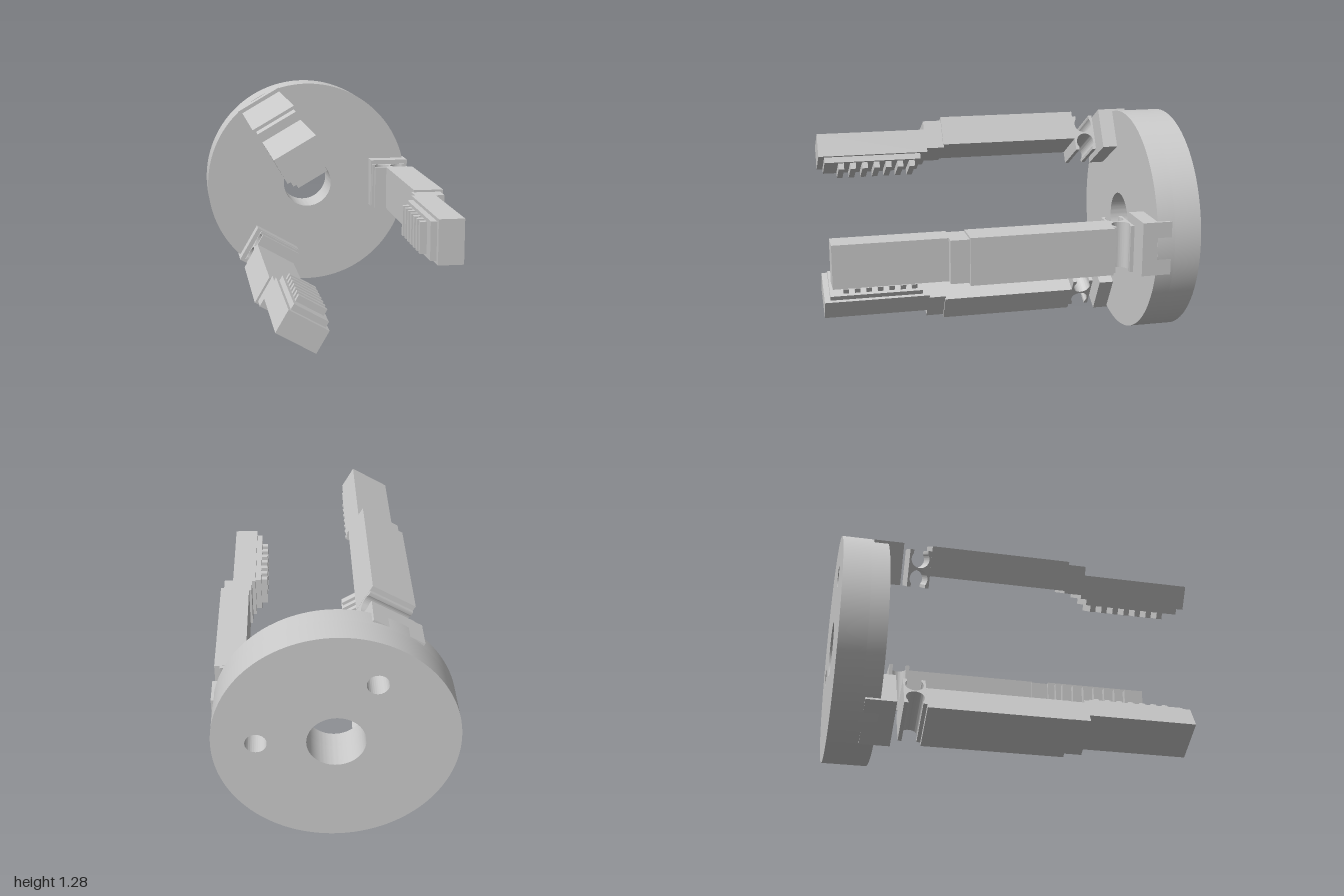
import * as THREE from 'three';
import { toCreasedNormals } from 'three/addons/utils/BufferGeometryUtils.js';

const material = new THREE.MeshStandardMaterial({ color: 0xcccccc });

function add(parent, name, geometry) {
  const mesh = new THREE.Mesh(geometry, material);
  mesh.name = name;
  parent.add(mesh);
  return mesh;
}

// Box from radial range (x), half width (y) and axial range (z)
function block(parent, name, x0, x1, half, z0, z1) {
  const mesh = add(parent, name, new THREE.BoxGeometry(x1 - x0, half * 2, z1 - z0));
  mesh.position.set((x0 + x1) / 2, 0, (z0 + z1) / 2);
  return mesh;
}

// Round plate layer with circular holes [x, y, radius]
function plateLayer(parent, name, z0, z1, holes) {
  const shape = new THREE.Shape().absarc(0, 0, 0.64, 0, Math.PI * 2);
  for (const [x, y, r] of holes) {
    shape.holes.push(new THREE.Path().absarc(x, y, r, 0, Math.PI * 2, true));
  }
  const geometry = new THREE.ExtrudeGeometry(shape, { depth: z1 - z0, bevelEnabled: false, curveSegments: 64 });
  geometry.translate(0, 0, z0);
  add(parent, name, toCreasedNormals(geometry, 0.6));
}

// Flexible joint: a block with a round notch on each side, leaving a thin web
function flexure(parent) {
  const [x0, x1, z0, z1] = [0.4, 0.608, -0.625, -0.503];
  const zc = -0.564, r = 0.05, a = Math.asin(0.8), mouth = r * 0.8;
  const shape = new THREE.Shape();
  shape.moveTo(x0, z0);
  shape.lineTo(x1, z0);
  shape.lineTo(x1, zc - mouth);
  shape.absarc(0.558, zc, r, -a, a, true);
  shape.lineTo(x1, zc + mouth);
  shape.lineTo(x1, z1);
  shape.lineTo(x0, z1);
  shape.lineTo(x0, zc + mouth);
  shape.absarc(0.448, zc, r, Math.PI - a, Math.PI + a, true);
  shape.lineTo(x0, zc - mouth);
  shape.closePath();
  const half = 0.13;
  const geometry = new THREE.ExtrudeGeometry(shape, { depth: half * 2, bevelEnabled: false, curveSegments: 32 });
  geometry.rotateX(Math.PI / 2).translate(0, half, 0);
  add(parent, 'flexureJoint', toCreasedNormals(geometry, 0.5));
}

function createFinger() {
  const finger = new THREE.Group();
  finger.name = 'finger';
  block(finger, 'fingerMount', 0.402, 0.637, 0.15, -0.83, -0.665);
  flexure(finger);
  block(finger, 'fingerBody', 0.47, 0.637, 0.131, -0.503, 0.285);
  block(finger, 'fingerCollar', 0.456, 0.62, 0.119, 0.28, 0.388);
  block(finger, 'fingerTip', 0.435, 0.57, 0.119, 0.38, 1);
  // Grip pad with a row of ribs facing the centre
  block(finger, 'gripPad', 0.402, 0.44, 0.102, 0.42, 0.967);
  for (let i = 0; i < 7; i++) {
    const z = 0.469 + i * 0.0675;
    block(finger, 'gripRib', 0.366, 0.41, 0.084, z - 0.016, z + 0.016);
  }
  return finger;
}

export function createModel() {
  const model = new THREE.Group();
  model.name = 'threeFingerGripper';

  // Base plate: bored through the middle, two blind holes in the back
  const plate = new THREE.Group();
  plate.name = 'basePlate';
  const bore = [0, 0, 0.153];
  const third = (Math.PI * 2) / 3;
  const blind = [0, 1].map((i) => [0.41 * Math.cos(i * third), 0.41 * Math.sin(i * third), 0.057]);
  plateLayer(plate, 'plateBack', -1, -0.85, [bore, ...blind]);
  plateLayer(plate, 'plateFront', -0.85, -0.75, [bore]);
  model.add(plate);

  // Three fingers spaced evenly round the axis
  for (let i = 0; i < 3; i++) {
    const finger = createFinger();
    finger.rotation.z = i * third;
    model.add(finger);
  }

  for (const part of model.children) part.position.y = 0.64;
  return model;
}
